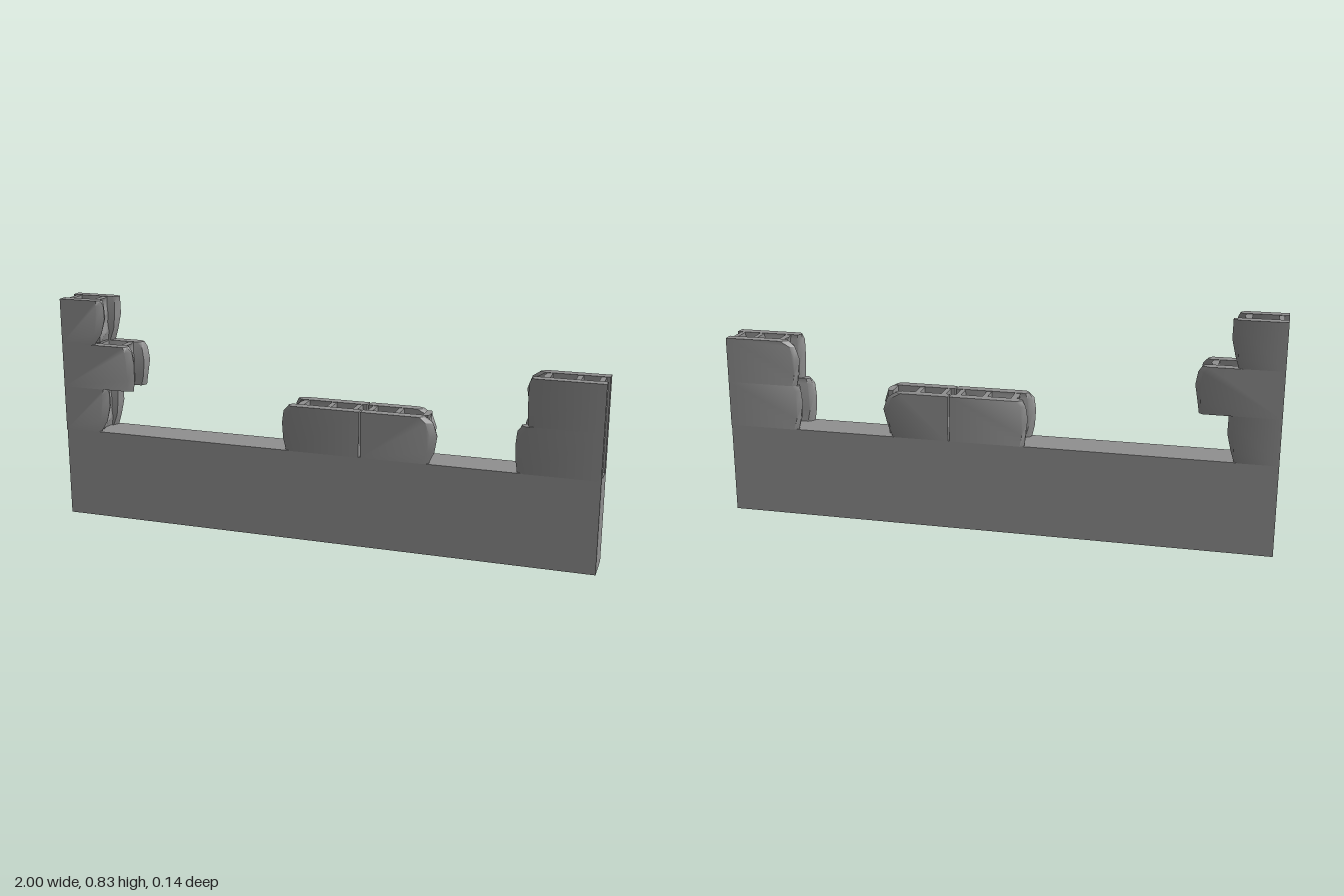
import * as THREE from 'three';
import { toCreasedNormals } from 'three/addons/utils/BufferGeometryUtils.js';

const concrete = new THREE.MeshStandardMaterial({ color: 0x909090 });
concrete.name = 'concrete grey';

const COURSE = 0.1665, BASE_TOP = 0.335;
const INNER = 0.034, OUTER = 0.071; // depth range of each block face

function addMesh(parent, geometry, name) {
  const mesh = new THREE.Mesh(geometry, concrete);
  mesh.name = name;
  parent.add(mesh);
}

// One face of a hollow block: straight at the joint, worn and chipped at the broken edge.
// The edge reaches x = reach and falls back by the given cuts at its bottom and top.
function faceGeometry(joint, { reach, bottom, top }, side) {
  const inward = Math.sign(joint - reach);
  const shape = new THREE.Shape();
  shape.moveTo(joint, 0);
  shape.lineTo(reach + inward * bottom, 0);
  shape.lineTo(reach + inward * bottom * 0.35, COURSE * 0.25);
  shape.lineTo(reach, COURSE * 0.6);
  shape.lineTo(reach + inward * top * 0.35, COURSE * 0.88);
  shape.lineTo(reach + inward * top, COURSE);
  shape.lineTo(joint, COURSE);

  const depth = OUTER - INNER;
  const geometry = new THREE.ExtrudeGeometry(shape, { depth, steps: 3, bevelEnabled: false });
  geometry.translate(0, 0, side > 0 ? INNER : -OUTER);
  const wear = [0.014, 0.002, 0, 0.018];
  const p = geometry.attributes.position;
  for (let i = 0; i < p.count; i++) {
    if (Math.abs(p.getX(i) - joint) < 1e-5) continue;
    const layer = Math.round((Math.abs(p.getZ(i)) - INNER) / depth * 3);
    const chip = 0.004 * Math.sin(p.getY(i) * 130 + layer * 2.1 + side);
    p.setX(i, p.getX(i) + inward * (wear[layer] + chip));
  }
  return toCreasedNormals(geometry, 0.75);
}

// Cross web between the two faces; broken is the direction of its ragged side, or 0
function webGeometry(broken) {
  const geometry = new THREE.BoxGeometry(0.018, COURSE - 0.003, INNER * 2, 1, 5, 2);
  const p = geometry.attributes.position;
  for (let i = 0; i < p.count; i++) {
    if (Math.sign(p.getX(i)) !== broken) continue;
    p.setX(i, p.getX(i) + broken * 0.008 * Math.sin(p.getY(i) * 95 + p.getZ(i) * 40));
  }
  return toCreasedNormals(geometry, 0.6);
}

const edge = (reach, bottom, top) => ({ reach, bottom, top });

// A broken hollow block; webs are listed from the joint towards the broken edge
function makeBlock(name, course, joint, front, back, webs) {
  const block = new THREE.Group();
  block.name = name;
  block.position.y = BASE_TOP + course * COURSE;
  addMesh(block, faceGeometry(joint, front, 1), 'frontFace');
  addMesh(block, faceGeometry(joint, back, -1), 'backFace');
  webs.forEach((x, i) => {
    const web = webGeometry(i === webs.length - 1 ? Math.sign(x - joint) : 0);
    web.translate(x, COURSE / 2, 0);
    addMesh(block, web, 'web');
  });
  return block;
}

export function createModel() {
  const wall = new THREE.Group();
  wall.name = 'brokenBlockWall';

  // Solid lower wall
  const base = new THREE.BoxGeometry(2, BASE_TOP, 0.135);
  base.translate(0, BASE_TOP / 2, 0);
  addMesh(wall, base, 'wallBase');

  // Three courses at the right end
  wall.add(makeBlock('rightBottomBlock', 0, -1, edge(-0.822, 0.04, 0), edge(-0.822, 0.025, 0), [-0.975, -0.87]));
  wall.add(makeBlock('rightMiddleBlock', 1, -1, edge(-0.715, 0.005, 0.02), edge(-0.706, 0.015, 0.02), [-0.975, -0.87, -0.768]));
  wall.add(makeBlock('rightTopBlock', 2, -1, edge(-0.828, 0.045, 0.008), edge(-0.82, 0.025, 0), [-0.975, -0.87]));

  // Two blocks meeting near the centre
  wall.add(makeBlock('centreRightBlock', 0, 0.157, edge(-0.13, 0.015, 0.02), edge(-0.125, 0.01, 0.02), [0.132, 0.035, -0.068]));
  wall.add(makeBlock('centreLeftBlock', 0, 0.163, edge(0.435, 0.03, 0.045), edge(0.405, 0.03, 0.045), [0.188, 0.285, 0.386]));

  // Two courses at the left end
  wall.add(makeBlock('leftBottomBlock', 0, 1, edge(0.71, 0.01, 0.015), edge(0.718, 0.017, 0.012), [0.978, 0.902, 0.8]));
  wall.add(makeBlock('leftTopBlock', 1, 1, edge(0.746, 0.006, 0.004), edge(0.722, 0.013, 0.045), [0.978, 0.902, 0.8]));
  return wall;
}
